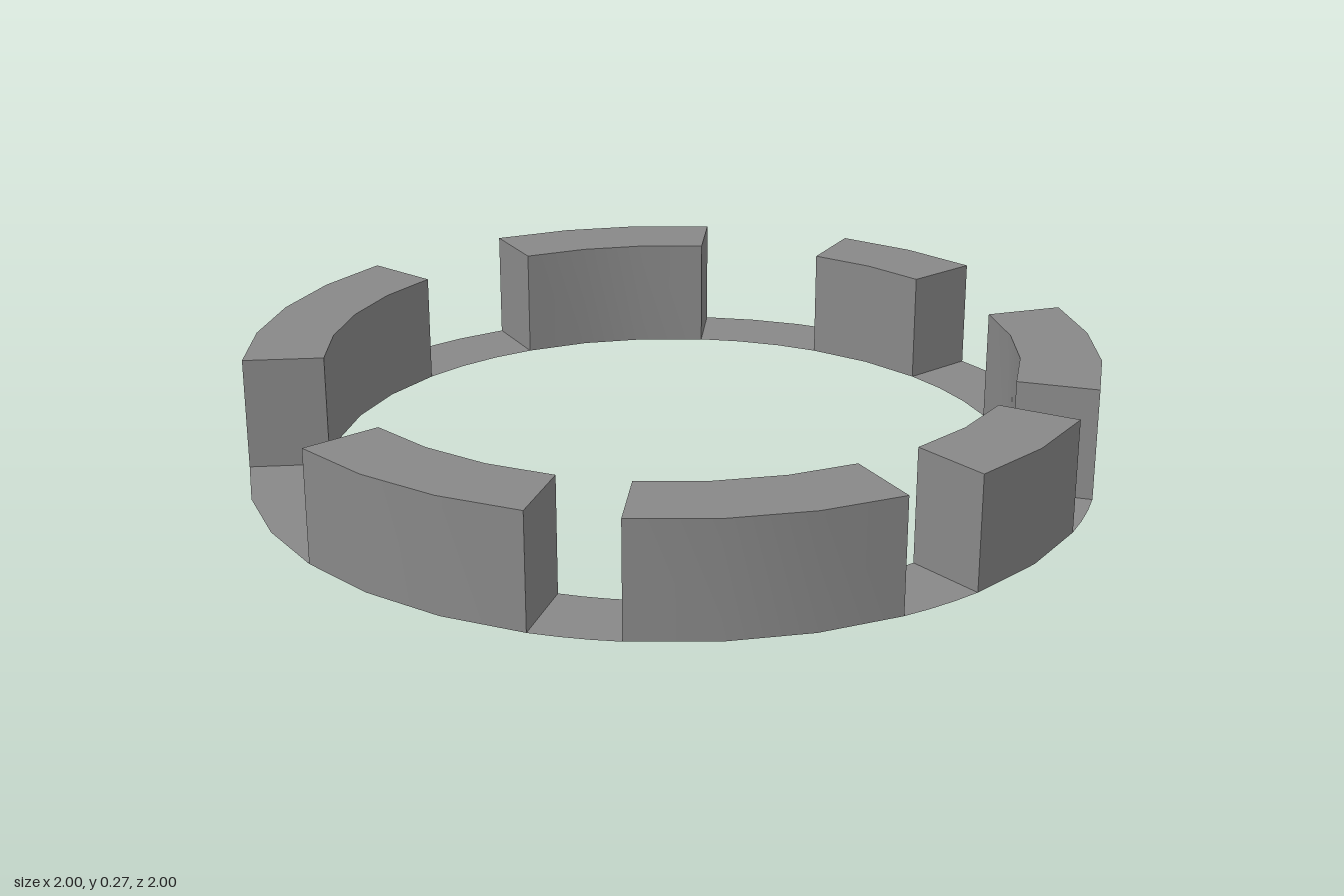
import * as THREE from 'three';
import { toCreasedNormals } from 'three/addons/utils/BufferGeometryUtils.js';

const OUTER = 1.002, INNER = 0.814, HEIGHT = 0.267;
const STEP = Math.PI * 2 / 32;            // the ring has 32 sides
const START = THREE.MathUtils.degToRad(3.75);

// Alternating runs around the ring, in sides: [raised block, flat gap]
const RUNS = [[3, 1], [3, 3], [4, 2], [3, 2], [2, 2], [3, 1], [2, 1]];
const FIRST = 2;                          // side at which the first block starts

// Angle of a corner of the ring, measured from +x towards +z
const angleAt = (side) => START + side * STEP;

// Hollow block, open underneath: outer wall, top and inner wall, closed by two ends
function makeBlock(first, count, material) {
  const block = new THREE.Group();
  const profile = [[OUTER, 0], [OUTER, HEIGHT], [INNER, HEIGHT], [INNER, 0]]
    .map(([r, y]) => new THREE.Vector2(r, y));
  const lathe = new THREE.LatheGeometry(profile, count, Math.PI / 2 - angleAt(first + count), count * STEP);
  const shell = new THREE.Mesh(toCreasedNormals(lathe, 0.5), material);
  shell.name = 'shell';
  block.add(shell);

  for (const [name, side, turn] of [['startEnd', first, Math.PI], ['farEnd', first + count, 0]]) {
    const plane = new THREE.PlaneGeometry(OUTER - INNER, HEIGHT);
    plane.rotateY(turn);                  // both ends face outwards
    plane.translate((OUTER + INNER) / 2, HEIGHT / 2, 0);
    plane.rotateY(-angleAt(side));
    const end = new THREE.Mesh(plane, material);
    end.name = name;
    block.add(end);
  }
  return block;
}

// Thin flat floor between two blocks
function makeFloor(first, count, material) {
  const plate = new THREE.RingGeometry(INNER, OUTER, count, 1, -angleAt(first + count), count * STEP);
  plate.rotateX(-Math.PI / 2);
  return new THREE.Mesh(plate, material);
}

export function createModel() {
  const group = new THREE.Group();
  group.name = 'segmentedRing';
  const material = new THREE.MeshStandardMaterial({ color: 0x888888, side: THREE.DoubleSide });

  let side = FIRST;
  RUNS.forEach(([blockSides, gapSides], i) => {
    const block = makeBlock(side, blockSides, material);
    block.name = `block${i + 1}`;
    side += blockSides;

    const floor = makeFloor(side, gapSides, material);
    floor.name = `gapFloor${i + 1}`;
    side += gapSides;

    group.add(block, floor);
  });
  return group;
}
